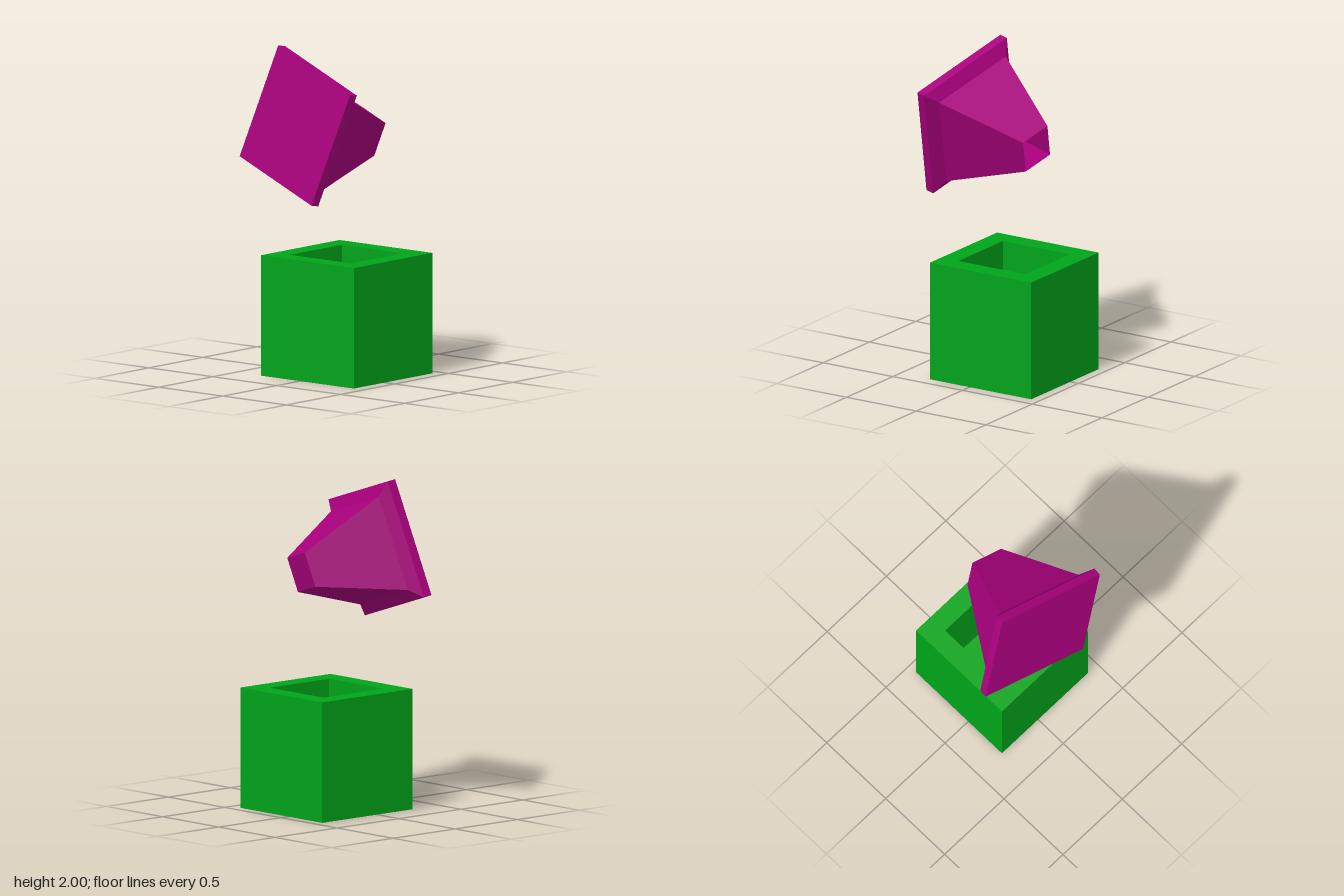
import * as THREE from 'three';

// Square vessel: a four-sided lathe of [half width, height] points,
// running up from the middle of the base.
function squareVessel(name, profile, color) {
  const points = profile.map(([half, y]) => new THREE.Vector2(half * Math.SQRT2, y));
  const geometry = new THREE.LatheGeometry(points, 4, Math.PI / 4).toNonIndexed();
  geometry.computeVertexNormals();
  const material = new THREE.MeshStandardMaterial({ color, flatShading: true, side: THREE.DoubleSide });
  const mesh = new THREE.Mesh(geometry, material);
  mesh.name = name;
  return mesh;
}

export function createModel() {
  const model = new THREE.Group();
  model.name = 'model';

  // Open box with a square well in its top
  const box = squareVessel('openBox', [
    [0, 0], [0.3635, 0], [0.3635, 0.73],
    [0.241, 0.73], [0.241, 0.12], [0, 0.12],
  ], 0x00a41a);
  box.position.set(0.078, 0, 0.059);
  model.add(box);

  // Hollow funnel: closed square base, bevel and thin tapering walls with an open tip
  const funnel = squareVessel('funnel', [
    [0, 0], [0.3635, 0], [0.3635, 0.054], [0.292, 0.104], [0.107, 0.6],
  ], 0xa8007c);

  // Tilt it so that its tip points sideways along the axis
  const axis = new THREE.Vector3(0.973, -0.173, 0.148).normalize();
  const side = new THREE.Vector3(0.12, 0.942, 0.314);
  const third = new THREE.Vector3().crossVectors(side, axis).normalize();
  side.crossVectors(axis, third);
  funnel.quaternion.setFromRotationMatrix(new THREE.Matrix4().makeBasis(side, axis, third));
  funnel.position.set(-0.328, 1.553, -0.003);
  model.add(funnel);

  return model;
}
